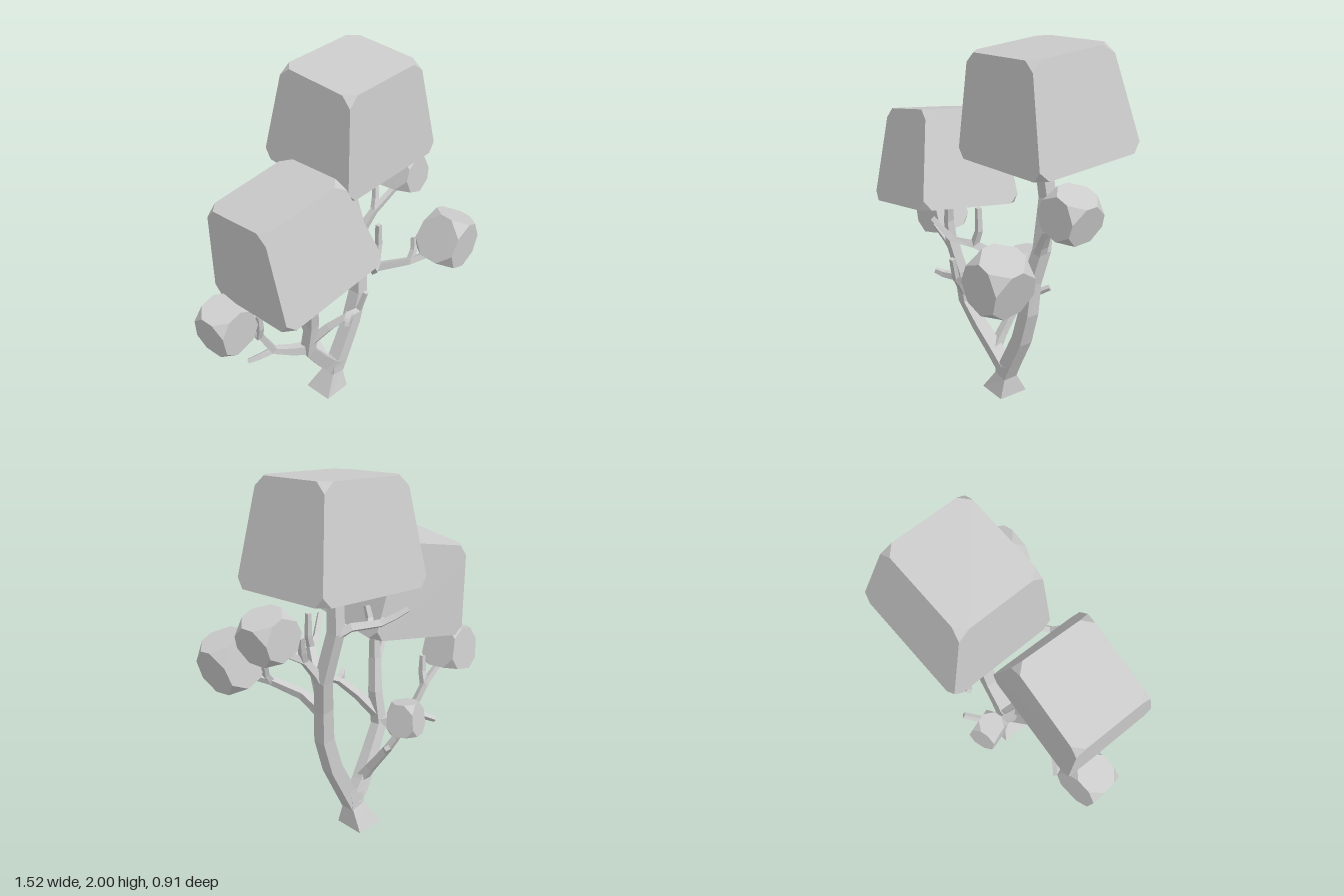
import * as THREE from 'three';
import { ConvexGeometry } from 'three/addons/geometries/ConvexGeometry.js';

const material = new THREE.MeshStandardMaterial({ color: 0xcccccc, flatShading: true });
const V = (p) => new THREE.Vector3(...p);

// Square branch swept along points [x, y, z], tapering between the given half widths
function branchGeometry(points, widths) {
  const path = points.map(V);
  const n = path.length;
  const pos = [];
  const index = [];
  let side = null;
  path.forEach((p, i) => {
    const t = path[Math.min(i + 1, n - 1)].clone().sub(path[Math.max(i - 1, 0)]).normalize();
    if (!side) side = Math.abs(t.x) > 0.8 ? V([0, 0, 1]) : V([1, 0, 0]);
    side = side.clone().addScaledVector(t, -side.dot(t)).normalize();
    const up = t.clone().cross(side);
    const k = (i / (n - 1)) * (widths.length - 1);
    const lo = Math.min(Math.floor(k), widths.length - 2);
    const r = THREE.MathUtils.lerp(widths[lo], widths[lo + 1], k - lo) * Math.SQRT2;
    for (let j = 0; j < 4; j++) {
      const a = Math.PI / 4 + (j * Math.PI) / 2;
      const q = p.clone().addScaledVector(side, r * Math.cos(a)).addScaledVector(up, r * Math.sin(a));
      pos.push(q.x, i === 0 && p.y === 0 ? 0 : q.y, q.z);
    }
  });
  for (let i = 0; i < n - 1; i++) {
    for (let j = 0; j < 4; j++) {
      const a = i * 4 + j, b = i * 4 + ((j + 1) % 4);
      index.push(a, b, b + 4, a, b + 4, a + 4);
    }
  }
  const e = (n - 1) * 4;
  index.push(0, 2, 1, 0, 3, 2, e, e + 1, e + 2, e, e + 2, e + 3);
  const g = new THREE.BufferGeometry();
  g.setAttribute('position', new THREE.Float32BufferAttribute(pos, 3));
  g.setIndex(index);
  g.computeVertexNormals();
  return g;
}

// Six-sided block with its corners cut off; corner number bits are x = 1, y = 2, z = 4
function blockGeometry(corners, cut) {
  const pts = [];
  corners.forEach((c, i) => {
    for (const bit of [1, 2, 4]) {
      const d = corners[i ^ bit].clone().sub(c);
      pts.push(c.clone().addScaledVector(d.normalize(), cut));
    }
  });
  return new ConvexGeometry(pts);
}

// Corners of a small turned box, narrower at the top
function boxCorners(center, size, rotation) {
  const euler = new THREE.Euler(...rotation);
  return Array.from({ length: 8 }, (_, i) => {
    const taper = i & 2 ? 0.86 : 1;
    return V([
      (i & 1 ? 0.5 : -0.5) * size[0] * taper,
      (i & 2 ? 0.5 : -0.5) * size[1],
      (i & 4 ? 0.5 : -0.5) * size[2] * taper,
    ]).applyEuler(euler).add(V(center));
  });
}

export function createModel() {
  const model = new THREE.Group();
  const add = (name, geometry) => {
    const mesh = new THREE.Mesh(geometry, material);
    mesh.name = name;
    model.add(mesh);
  };
  const branch = (name, points, widths) => add(name, branchGeometry(points, widths));

  // Flared root and the two main limbs
  branch('root', [[0.07, 0, -0.085], [0.105, 0.12, -0.07], [0.11, 0.2, -0.065]], [0.087, 0.042, 0.042]);
  branch('leftTrunk', [[0.11, 0.13, -0.068], [0.16, 0.23, -0.065], [0.25, 0.41, -0.065], [0.305, 0.6, -0.065],
    [0.315, 0.78, -0.075], [0.345, 0.96, -0.11], [0.31, 1.22, -0.165], [0.285, 1.47, -0.14]], [0.042, 0.036, 0.03]);
  branch('rightTrunk', [[0.11, 0.15, -0.07], [0.03, 0.23, -0.055], [-0.08, 0.36, -0.02], [-0.175, 0.49, 0.01],
    [-0.175, 0.68, 0.04], [-0.21, 0.86, 0.08], [-0.215, 0.98, 0.09], [-0.19, 1.12, 0.1]], [0.04, 0.03, 0.015]);

  // Branches and twigs of the right limb
  branch('rightOuterBranch', [[-0.17, 0.5, 0.01], [-0.25, 0.51, -0.03], [-0.345, 0.54, -0.08], [-0.43, 0.69, -0.1],
    [-0.58, 0.8, -0.1]], [0.028, 0.018, 0.013]);
  branch('rightFrontBranch', [[-0.175, 0.54, 0.015], [-0.1, 0.66, 0.1], [-0.03, 0.745, 0.18], [0.02, 0.765, 0.2],
    [0.037, 0.88, 0.23]], [0.024, 0.017, 0.011]);
  branch('rightBackBranch', [[0.02, 0.24, -0.05], [0.01, 0.33, -0.11], [0, 0.48, -0.22], [-0.03, 0.56, -0.26],
    [-0.05, 0.65, -0.3]], [0.026, 0.018, 0.014]);
  const rightTwigs = [
    [[-0.34, 0.54, -0.08], [-0.4, 0.505, -0.12], [-0.455, 0.475, -0.165]],
    [[-0.43, 0.67, -0.1], [-0.44, 0.75, -0.07], [-0.452, 0.84, -0.06]],
    [[-0.03, 0.745, 0.18], [-0.08, 0.745, 0.21], [-0.115, 0.76, 0.24]],
    [[0, 0.48, -0.22], [0.05, 0.53, -0.27], [0.13, 0.59, -0.345]],
    [[-0.2, 0.78, 0.06], [-0.25, 0.86, 0.09], [-0.315, 0.93, 0.12]],
    [[-0.215, 0.95, 0.09], [-0.24, 1.02, 0.07], [-0.27, 1.1, 0.03]],
  ];
  rightTwigs.forEach((p, i) => branch(`rightTwig${i + 1}`, p, [0.018, 0.012]));

  // Branches and twigs of the left limb
  branch('leftFrontBranch', [[0.305, 0.78, -0.07], [0.24, 0.93, 0.07], [0.17, 1, 0.18], [0.07, 1.01, 0.25],
    [-0.015, 1.11, 0.31]], [0.026, 0.019, 0.012]);
  branch('leftOuterBranch', [[0.31, 0.75, -0.07], [0.33, 0.82, 0.07], [0.42, 0.88, 0.21], [0.55, 0.94, 0.31]], [0.026, 0.018, 0.014]);
  branch('leftUpperBranch', [[0.335, 0.91, -0.1], [0.375, 1.0, -0.09], [0.43, 1.08, -0.07], [0.59, 1.18, -0.05]], [0.026, 0.018, 0.014]);
  branch('leftBackBranch', [[0.315, 1.2, -0.16], [0.25, 1.245, -0.21], [0.12, 1.25, -0.28], [0.06, 1.28, -0.32],
    [0.005, 1.315, -0.355]], [0.022, 0.016, 0.012]);
  const leftTwigs = [
    [[0.17, 1, 0.18], [0.195, 1.08, 0.17], [0.19, 1.2, 0.17]],
    [[0.42, 0.88, 0.21], [0.46, 0.93, 0.2], [0.48, 0.99, 0.18]],
    [[0.43, 1.08, -0.07], [0.46, 1.14, -0.09], [0.48, 1.23, -0.11]],
    [[0.17, 1.25, -0.25], [0.145, 1.27, -0.23], [0.145, 1.33, -0.21]],
    [[0.13, 1.25, -0.27], [0.09, 1.24, -0.26], [0.05, 1.24, -0.24]],
  ];
  leftTwigs.forEach((p, i) => branch(`leftTwig${i + 1}`, p, [0.016, 0.012]));

  // Two large foliage blocks
  add('topFoliage', blockGeometry([
    [-0.02, 1.45, -0.455], [0.65, 1.5, -0.455], [0.02, 1.965, -0.34], [0.525, 2.003, -0.34],
    [-0.02, 1.4, 0.15], [0.65, 1.455, 0.15], [0.02, 1.93, 0.115], [0.525, 1.97, 0.115],
  ].map(V), 0.05));
  add('rightFoliage', blockGeometry([
    [-0.58, 0.98, -0.225], [0.055, 1.105, -0.18], [-0.6, 1.48, -0.215], [-0.12, 1.585, -0.175],
    [-0.605, 1.025, 0.33], [0.005, 1.165, 0.375], [-0.625, 1.525, 0.21], [-0.165, 1.625, 0.245],
  ].map(V), 0.05));

  // Small foliage blocks with deeper corner cuts
  const smallBlocks = [
    ['rightSmallFoliage', [-0.627, 0.868, -0.11], [0.235, 0.23, 0.22], [0.08, 0.08, 0.25], 0.06],
    ['leftFrontSmallFoliage', [0.588, 1.015, 0.325], [0.25, 0.25, 0.25], [0.12, 0.05, -0.36], 0.075],
    ['leftUpperSmallFoliage', [0.632, 1.27, -0.05], [0.23, 0.195, 0.23], [0, 0.1, -0.33], 0.065],
    ['backSmallFoliage', [-0.05, 0.685, -0.305], [0.155, 0.17, 0.16], [0.12, 0.3, 0.1], 0.045],
  ];
  for (const [name, center, size, rotation, cut] of smallBlocks) {
    add(name, blockGeometry(boxCorners(center, size, rotation), cut));
  }
  return model;
}
